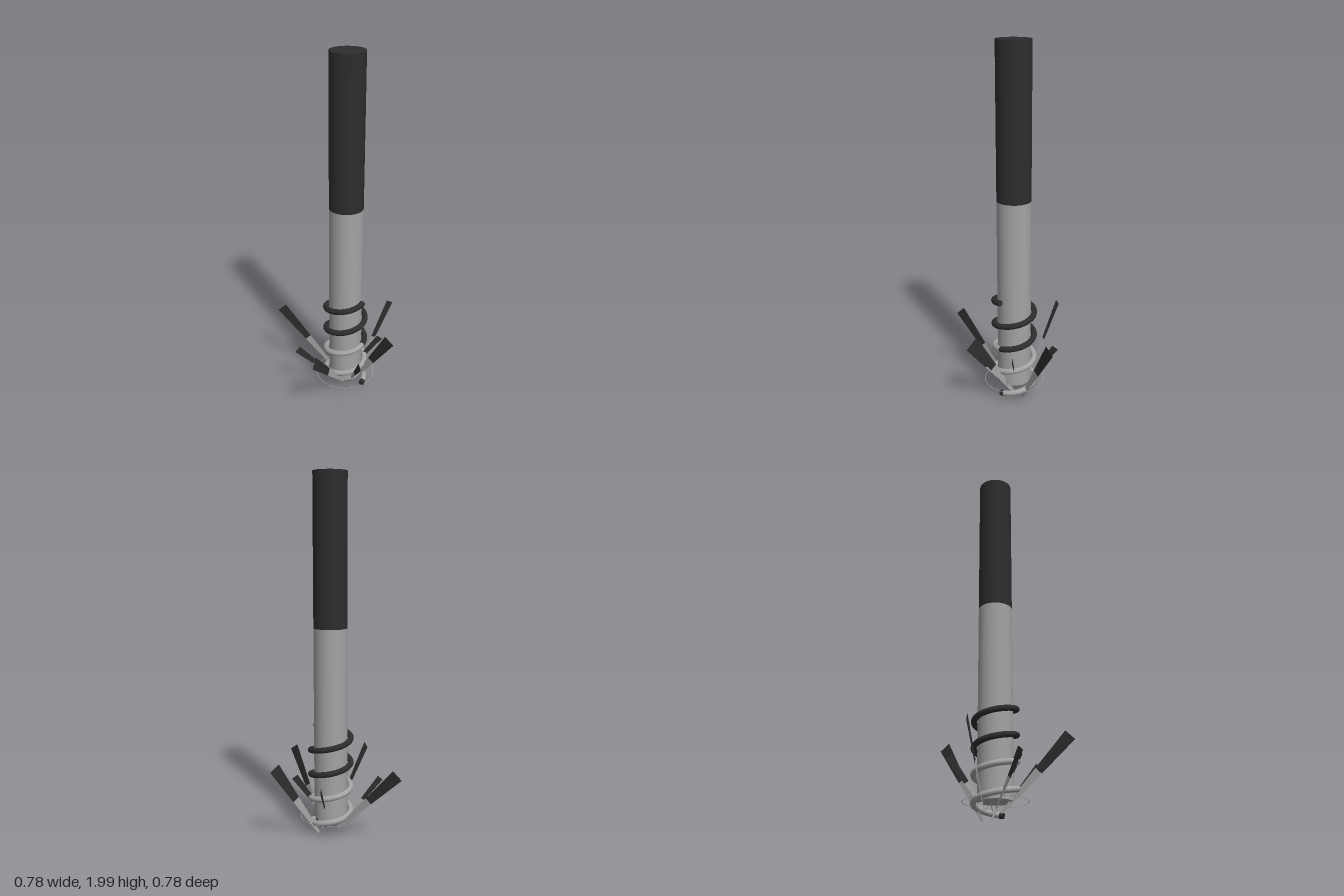
import * as THREE from 'three';

const AXIS_X = 0.063, AXIS_Z = -0.022;

// Rising coil around the post, running from +x towards the back
class Coil extends THREE.Curve {
  constructor(from, to) {
    super();
    this.from = from;
    this.to = to;
  }
  getPoint(t, target = new THREE.Vector3()) {
    const turn = THREE.MathUtils.lerp(this.from, this.to, t);
    const a = turn * Math.PI * 2;
    return target.set(0.112 * Math.cos(a), 0.05 + 0.14 * turn, -0.112 * Math.sin(a));
  }
}

export function createModel() {
  const group = new THREE.Group();
  const dark = new THREE.MeshStandardMaterial({ color: 0x2d2d2d, side: THREE.DoubleSide });
  dark.name = 'charcoal';
  const grey = new THREE.MeshStandardMaterial({ color: 0xa3a3a3, side: THREE.DoubleSide });
  grey.name = 'grey';

  const add = (parent, name, geometry, material) => {
    const mesh = new THREE.Mesh(geometry, material);
    mesh.name = name;
    parent.add(mesh);
    return mesh;
  };

  // Post, coil and ring share one axis
  const core = new THREE.Group();
  core.name = 'core';
  core.position.set(AXIS_X, 0, AXIS_Z);
  group.add(core);

  const post = (name, y0, y1, material) => {
    const geometry = new THREE.CylinderGeometry(0.093, 0.093, y1 - y0, 48);
    add(core, name, geometry, material).position.y = (y0 + y1) / 2;
  };
  post('lowerPost', 0.1, 1.17, grey);
  post('upperPost', 1.17, 2, dark);

  const coil = (name, from, to, material) => {
    const segments = Math.max(4, Math.round((to - from) * 64));
    add(core, name, new THREE.TubeGeometry(new Coil(from, to), segments, 0.016, 12), material);
  };
  coil('coilFoot', 0, 0.03, dark);
  coil('lowerCoil', 0.03, 2, grey);
  coil('upperCoil', 2, 4, dark);

  // Flat discs closing the two coil ends
  for (const turn of [0, 4]) {
    const curve = new Coil(0, 4);
    const cap = add(core, 'coilEnd', new THREE.CircleGeometry(0.016, 12), dark);
    cap.position.copy(curve.getPoint(turn / 4));
    cap.quaternion.setFromUnitVectors(new THREE.Vector3(0, 0, 1), curve.getTangent(turn / 4));
  }

  const ring = add(core, 'groundRing', new THREE.RingGeometry(0.1665, 0.1695, 64), grey);
  ring.rotation.x = -Math.PI / 2;
  ring.position.y = 0.1;

  // Flat tapering blades: base point, tip point, base width, tip width
  const blades = [
    [[-0.01, 0.05, -0.053], [-0.367, 0.415, 0.008], 0.016, 0.067],
    [[0.09, 0.015, -0.054], [0.365, 0.44, 0.005], 0.016, 0.067],
    [[0.075, 0.05, 0.01], [0.106, 0.415, 0.367], 0.016, 0.067],
    [[0.085, 0.015, -0.1], [0.17, 0.44, -0.363], 0.016, 0.067],
    [[0.045, 0.05, -0.06], [-0.042, 0.325, -0.235], 0.01, 0.04],
    [[0.045, 0.05, -0.03], [0.223, 0.325, -0.147], 0.01, 0.04],
    [[0, 0.055, 0.007], [-0.13, 0.305, 0.187], 0.01, 0.04],
    [[0.1, 0.05, -0.005], [0.26, 0.31, 0.145], 0.01, 0.04],
  ];

  for (const [from, to, baseWidth, tipWidth] of blades) {
    const base = new THREE.Vector3(...from), tip = new THREE.Vector3(...to);
    const along = tip.clone().sub(base).normalize();
    // Width lies in the upright plane of the blade, with a slight lean
    const across = new THREE.Vector3(0, 1, 0).addScaledVector(along, -along.y).normalize();
    across.applyAxisAngle(along, 0.1);

    const section = (t) => {
      const middle = base.clone().lerp(tip, t);
      const half = THREE.MathUtils.lerp(baseWidth, tipWidth, t) / 2;
      return [
        middle.clone().addScaledVector(across, -half),
        middle.clone().addScaledVector(across, half),
      ];
    };
    const strip = (t0, t1) => {
      const geometry = new THREE.BufferGeometry().setFromPoints([...section(t0), ...section(t1)]);
      geometry.setIndex([0, 2, 1, 1, 2, 3]);
      geometry.computeVertexNormals();
      return geometry;
    };

    const blade = new THREE.Group();
    blade.name = 'blade';
    group.add(blade);
    add(blade, 'bladeStem', strip(0, 0.53), grey);
    add(blade, 'bladeTip', strip(0.53, 1), dark);
  }

  return group;
}
